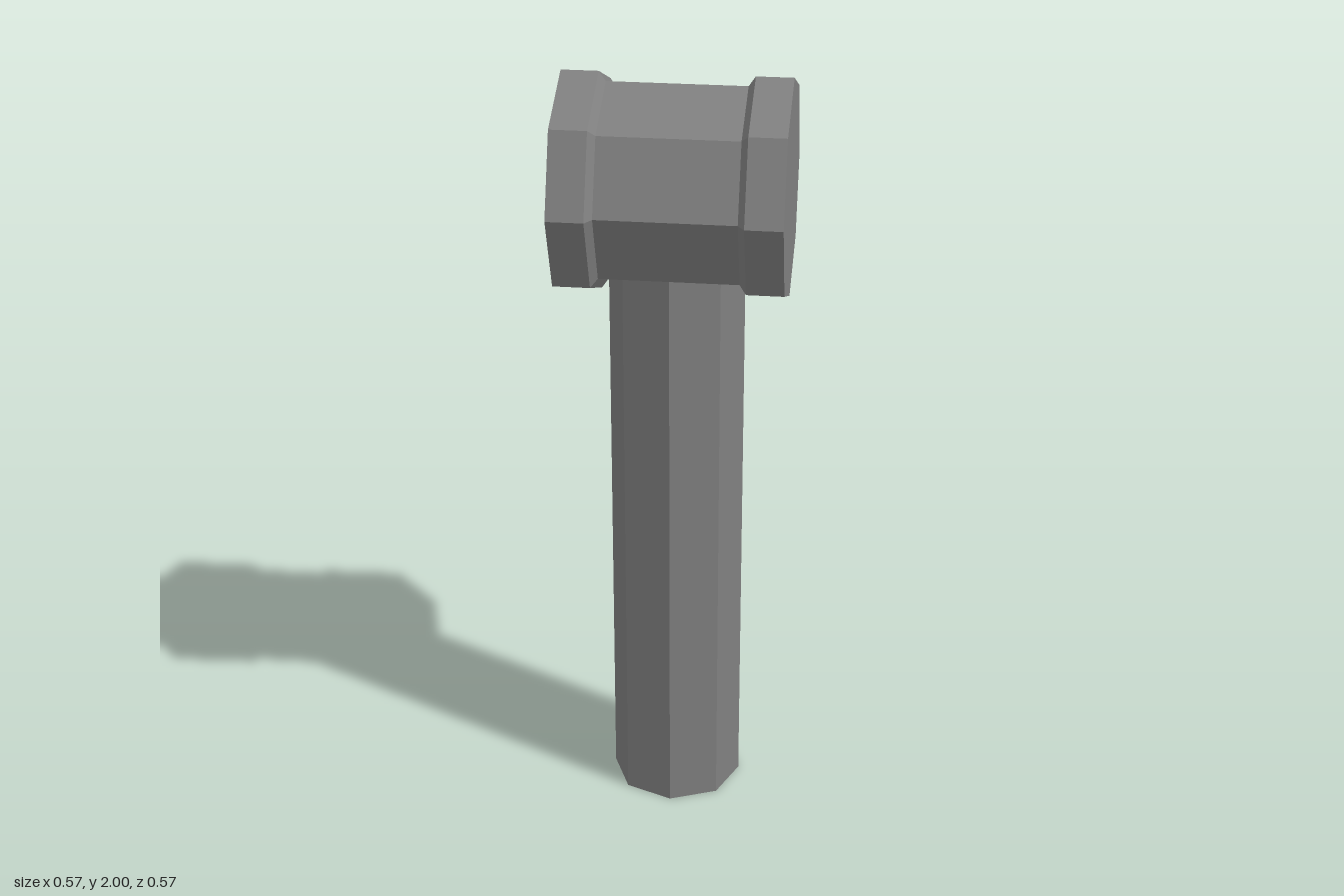
import * as THREE from 'three';

const SIDES = 8;

// Faceted eight-sided solid turned from a [radius, height] profile, bottom to top
function turned(name, profile, material) {
  const points = profile.map(([r, y]) => new THREE.Vector2(r, y));
  const geometry = new THREE.LatheGeometry(points, SIDES).toNonIndexed();
  geometry.computeVertexNormals();
  const mesh = new THREE.Mesh(geometry, material);
  mesh.name = name;
  return mesh;
}

export function createModel() {
  const group = new THREE.Group();
  group.name = 'hammer';

  const grey = new THREE.MeshStandardMaterial({ color: 0x808080, flatShading: true });
  grey.name = 'grey';

  // Straight handle, its top end buried in the head
  group.add(turned('handle', [[0, 0], [0.172, 0], [0.172, 1.6], [0, 1.6]], grey));

  // Head: two wide striking ends, each bevelled down to a narrower barrel
  const half = [[0, 0.283], [0.283, 0.283], [0.283, 0.19], [0.258, 0.173]];
  const lower = half.map(([r, y]) => [r, -y]);
  const head = turned('head', [...lower, ...half.slice().reverse()], grey);
  head.rotation.z = Math.PI / 2;
  head.position.y = 1.717;
  group.add(head);

  return group;
}
